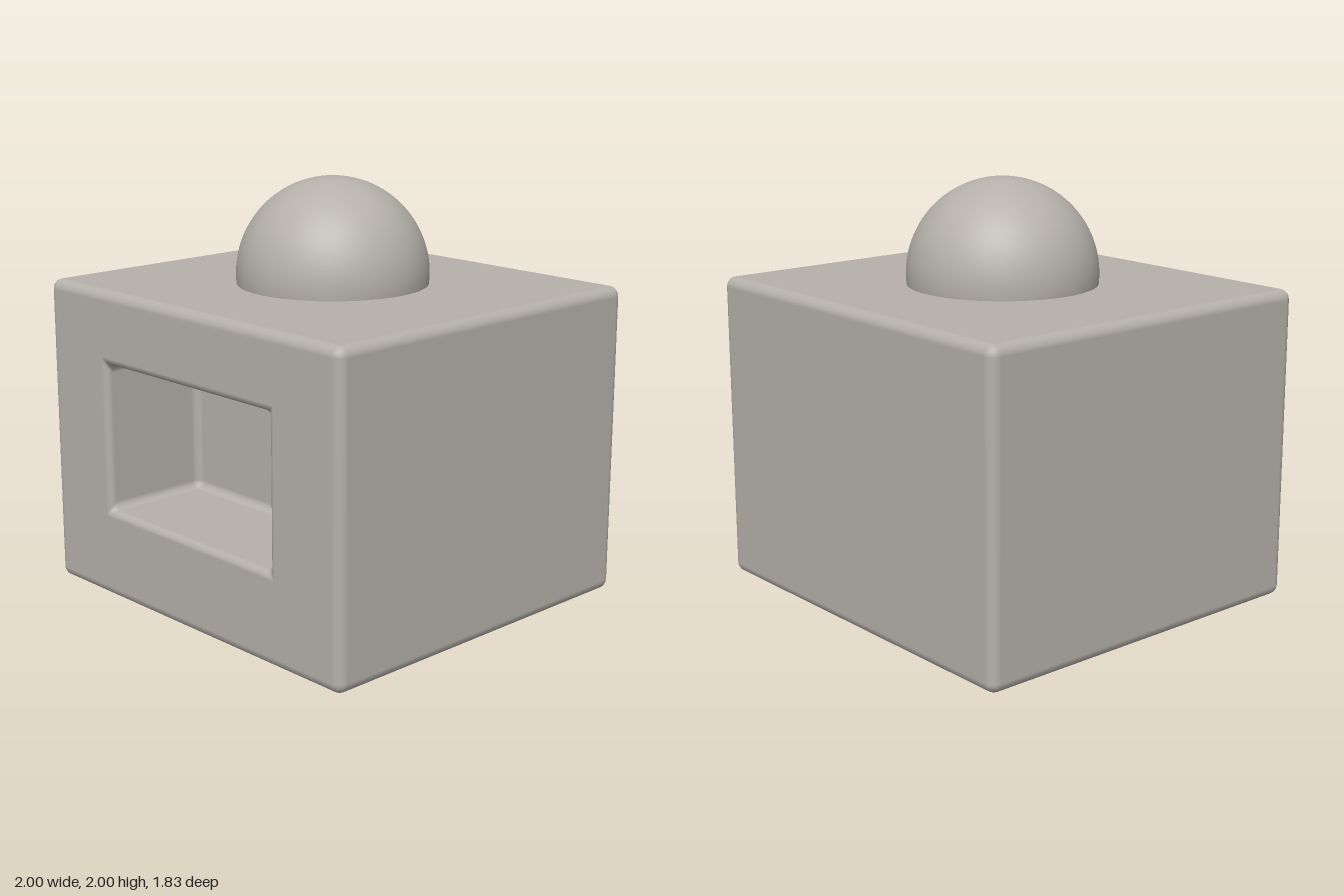
import * as THREE from 'three';

const CORNER_STEPS = 4;
const FILLET_STEPS = 4;

// One rounded-rectangle loop: half sizes, corner radius, centre height, depth,
// and its normal as an outward part (out) and a forward part (fwd).
const ring = (hx, hy, rad, yc, z, out, fwd) => ({ hx, hy, rad, yc, z, out, fwd });

// Skins a sequence of loops, with exact normals so flats stay flat.
function loft(rings) {
  const position = [], normal = [], index = [];
  const count = 4 * (CORNER_STEPS + 1);
  for (const r of rings) {
    for (let c = 0; c < 4; c++) {
      const sx = c === 0 || c === 3 ? 1 : -1;
      const sy = c < 2 ? 1 : -1;
      for (let k = 0; k <= CORNER_STEPS; k++) {
        const a = (c + k / CORNER_STEPS) * Math.PI / 2;
        const nx = Math.cos(a), ny = Math.sin(a);
        position.push(sx * (r.hx - r.rad) + r.rad * nx, r.yc + sy * (r.hy - r.rad) + r.rad * ny, r.z);
        normal.push(r.out * nx, r.out * ny, r.fwd);
      }
    }
  }
  for (let i = 0; i < rings.length - 1; i++) {
    for (let j = 0; j < count; j++) {
      const a = i * count + j, b = i * count + (j + 1) % count;
      index.push(a, b, b + count, a, b + count, a + count);
    }
  }
  const geometry = new THREE.BufferGeometry();
  geometry.setAttribute('position', new THREE.Float32BufferAttribute(position, 3));
  geometry.setAttribute('normal', new THREE.Float32BufferAttribute(normal, 3));
  geometry.setIndex(index);
  return geometry;
}

function bodyGeometry() {
  const W = 1, H = 0.75, D = 0.915, R = 0.05;            // outer block
  const w = 0.565, h = 0.355, yc = 0.795, depth = 0.54;  // front recess
  const r = 0.04, lip = 0.035;
  const rings = [ring(0, 0, 0, H, -D, 0, -1)];

  // outer block, back to front, with rounded edges
  for (const side of [-1, 1]) {
    for (let k = 0; k <= FILLET_STEPS; k++) {
      const q = (k / FILLET_STEPS) * Math.PI / 2;
      const t = side < 0 ? q - Math.PI / 2 : q;
      const c = Math.cos(t), s = Math.sin(t), inset = R * (1 - c);
      rings.push(ring(W - inset, H - inset, R * c, H, side * (D - R) + R * s, c, s));
    }
  }
  // rounded lip of the recess, mitred at the front corners
  for (let k = 0; k <= FILLET_STEPS; k++) {
    const t = (k / FILLET_STEPS) * Math.PI / 2;
    const c = Math.cos(t), s = Math.sin(t), grow = lip * (1 - s);
    rings.push(ring(w + grow, h + grow, r * k / FILLET_STEPS, yc, D - lip * (1 - c), -s, c));
  }
  // recess walls running into a filleted back panel
  for (let k = 0; k <= FILLET_STEPS; k++) {
    const t = (k / FILLET_STEPS) * Math.PI / 2;
    const c = Math.cos(t), s = Math.sin(t), inset = r * (1 - c);
    rings.push(ring(w - inset, h - inset, r * c, yc, D - depth + r * (1 - s), -c, s));
  }
  rings.push(ring(0, 0, 0, yc, D - depth, 0, 1));
  return loft(rings);
}

export function createModel() {
  const group = new THREE.Group();
  const stone = new THREE.MeshStandardMaterial({ color: 0xb5b1aa });
  stone.name = 'warmGrey';

  const body = new THREE.Mesh(bodyGeometry(), stone);
  body.name = 'bodyWithRecess';

  // dome, carried slightly below the top of the block
  const dome = new THREE.Mesh(new THREE.SphereGeometry(0.455, 64, 32, 0, Math.PI * 2, 0, 1.75), stone);
  dome.name = 'dome';
  dome.position.y = 1.545;

  group.add(body, dome);
  return group;
}
